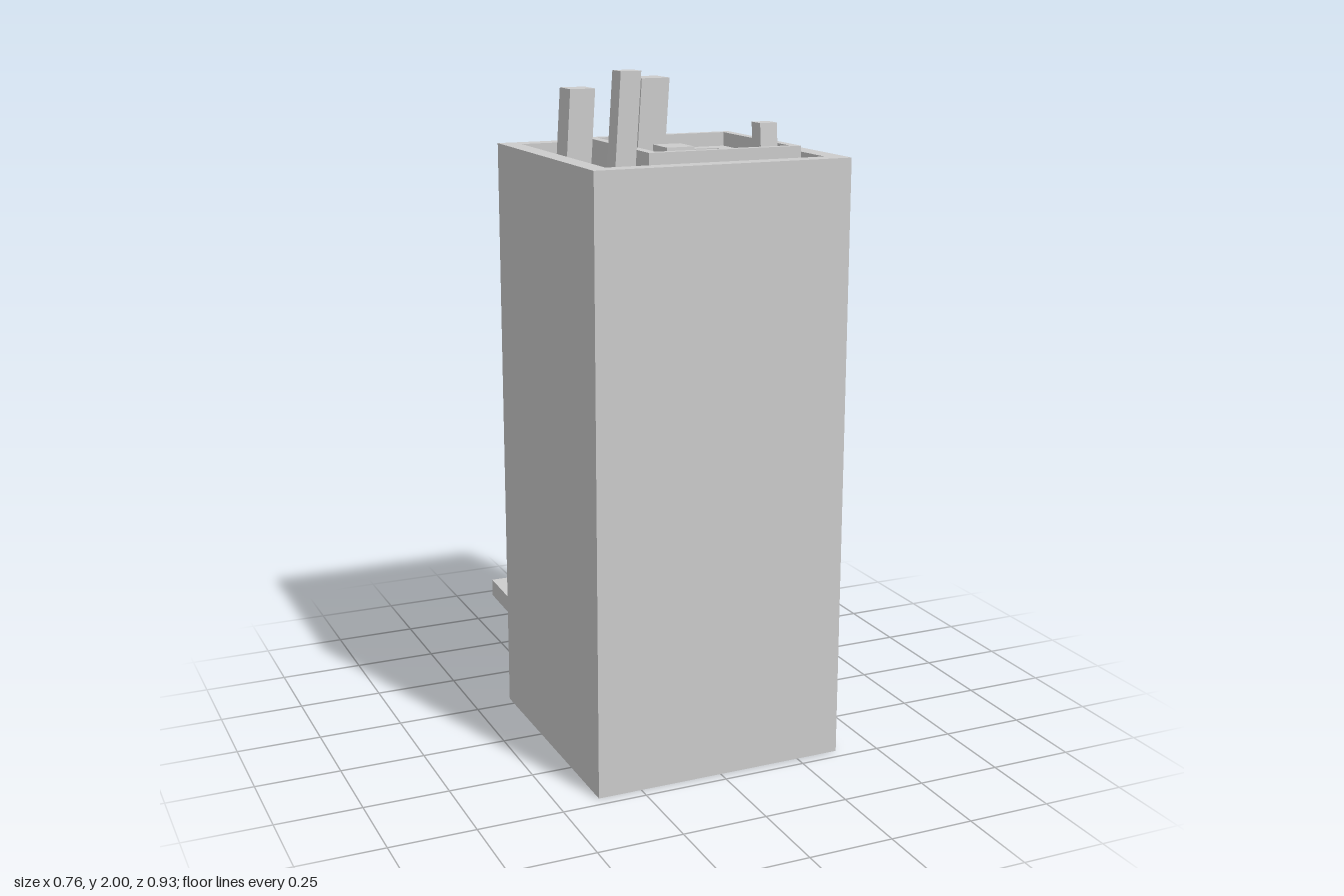
import * as THREE from 'three';

const material = new THREE.MeshStandardMaterial({ color: 0xcccccc, flatShading: true });

function add(group, geometry, name) {
  const mesh = new THREE.Mesh(geometry, material);
  mesh.name = name;
  group.add(mesh);
  return mesh;
}

// Closed rectangular outline on a Shape or Path
function outline(path, [a0, a1, b0, b1]) {
  path.moveTo(a0, b0);
  path.lineTo(a1, b0);
  path.lineTo(a1, b1);
  path.lineTo(a0, b1);
  path.closePath();
  return path;
}

function plate(rect, holes, depth) {
  const shape = outline(new THREE.Shape(), rect);
  for (const hole of holes) shape.holes.push(outline(new THREE.Path(), hole));
  return new THREE.ExtrudeGeometry(shape, { depth, bevelEnabled: false });
}

// Horizontal plate with holes; rectangles are [x0, x1, z0, z1]
function flatPlate(rect, holes, y0, y1) {
  const flip = ([x0, x1, z0, z1]) => [x0, x1, -z1, -z0];
  return plate(flip(rect), holes.map(flip), y1 - y0).rotateX(-Math.PI / 2).translate(0, y0, 0);
}

function block([x0, x1, z0, z1], y0, y1) {
  return new THREE.BoxGeometry(x1 - x0, y1 - y0, z1 - z0)
    .translate((x0 + x1) / 2, (y0 + y1) / 2, (z0 + z1) / 2);
}

// Box whose base is shifted by (dx, dz) from its given top rectangle
function leaningBlock(rect, y0, y1, dx, dz) {
  const geometry = block(rect, y0, y1);
  const p = geometry.attributes.position;
  for (let i = 0; i < p.count; i++) {
    const k = (y1 - p.getY(i)) / (y1 - y0);
    p.setX(i, p.getX(i) + dx * k);
    p.setZ(i, p.getZ(i) + dz * k);
  }
  geometry.computeVertexNormals();
  return geometry;
}

export function createModel() {
  const model = new THREE.Group();
  model.name = 'towerBlock';
  const roof = 1.70, top = 1.76, back = -0.29, recess = -0.235;

  // Tower body and rear wall with three tall window slots
  add(model, block([-0.38, 0.38, recess, 0.465], 0, roof), 'towerBody');
  const slots = [-0.243, 0.005, 0.243].map((x) => [x - 0.067, x + 0.067, 0.37, 1.67]);
  add(model, plate([-0.38, 0.38, 0, roof], slots, recess - back).translate(0, 0, back), 'rearWall');

  // Parapet around the sunken roof
  add(model, flatPlate([-0.38, 0.38, back, 0.465], [[-0.325, 0.325, recess, 0.41]], roof, top), 'parapet');

  // Raised roof platform with a rim and a sunken hatch
  const inner = [-0.145, 0.26, -0.088, 0.325];
  add(model, flatPlate([-0.173, 0.286, -0.112, 0.348], [inner], roof, 1.785), 'platformRim');
  add(model, flatPlate(inner, [[0.065, 0.215, -0.04, 0.175]], roof, 1.745), 'platformFloor');

  // Leaning chimneys and small vents: top rectangle, base y, top y, base shift x and z
  const stacks = [
    ['backChimney', [-0.275, -0.2, -0.047, 0.034], roof, 1.935, -0.015, 0],
    ['middleChimney', [-0.106, -0.022, 0.054, 0.145], 1.74, 1.967, -0.015, 0],
    ['frontChimney', [-0.244, -0.185, 0.266, 0.324], roof, 2.0, -0.02, 0],
    ['lowVent', [-0.087, -0.004, 0.178, 0.271], 1.74, 1.788, 0, 0.005],
    ['smallVent', [0.186, 0.238, 0.241, 0.293], 1.74, 1.846, 0, 0.01],
  ];
  for (const [name, ...spec] of stacks) add(model, leaningBlock(...spec), name);

  // Rear ledge, rising slightly away from the wall
  const ledge = block([-0.37, 0.37, -0.468, -0.28], 0.28, 0.332);
  const p = ledge.attributes.position;
  for (let i = 0; i < p.count; i++) {
    if (p.getZ(i) < -0.4) p.setY(i, p.getY(i) + 0.008);
  }
  ledge.computeVertexNormals();
  add(model, ledge, 'rearLedge');

  return model;
}
